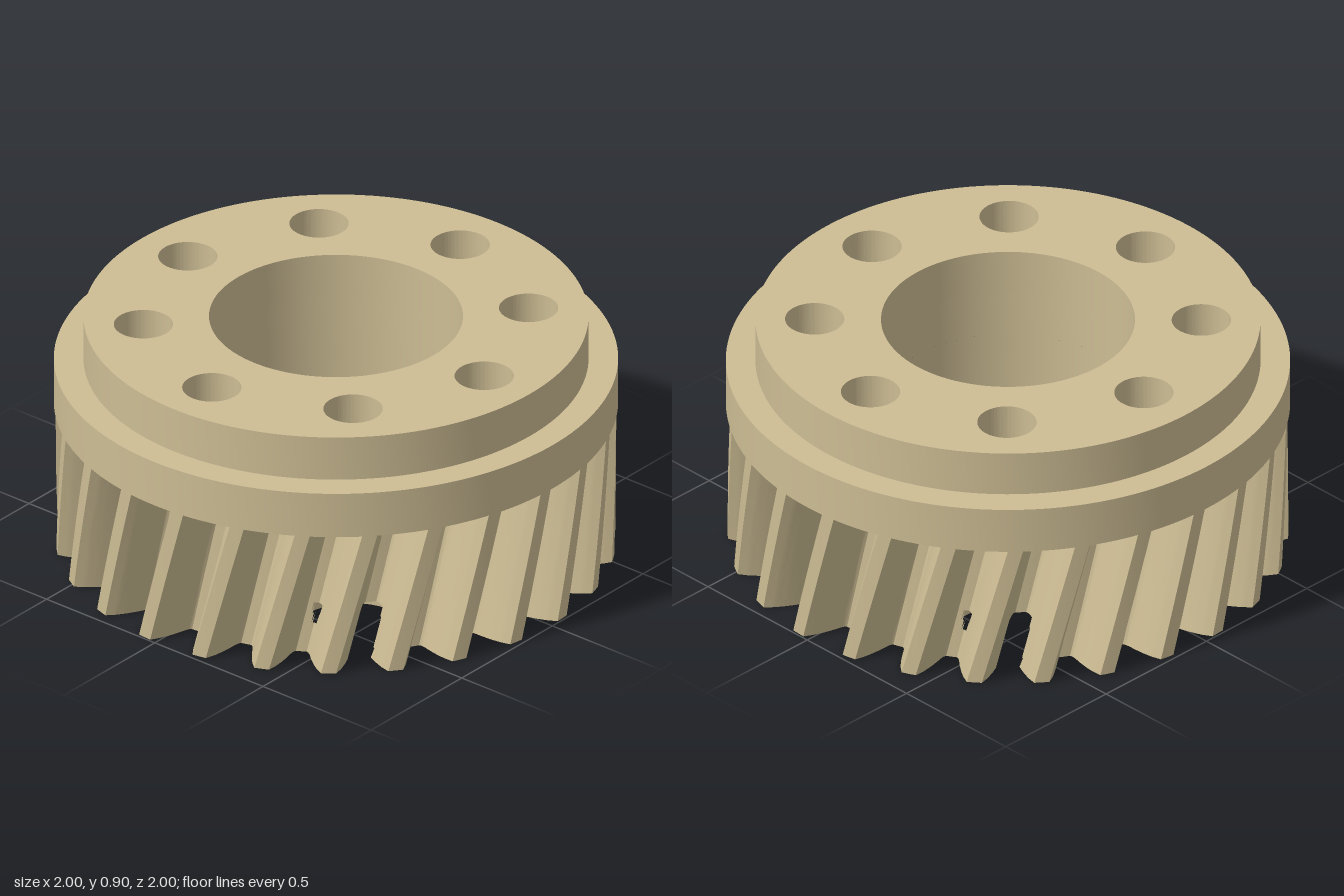
import * as THREE from 'three';
import { toCreasedNormals } from 'three/addons/utils/BufferGeometryUtils.js';

const TAU = Math.PI * 2, DEG = Math.PI / 180;
const TEETH = 26, PITCH = TAU / TEETH;
const GEAR_TOP = 0.555, FLANGE_TOP = 0.73, TOP = 0.9;
const BORE = 0.45, HOLE = 0.105, POCKET = 0.207, HOLE_RING = 0.685, POCKET_DEPTH = 0.2;
const PHASE = 3.8 * DEG, TWIST = 8.5 * DEG / GEAR_TOP;

// Half of one tooth: [angle from the tooth's middle in degrees, radius]
const FLANK = [[0, 0.993], [1.55, 0.993], [2.6, 0.96], [3.46, 0.924], [4.15, 0.89],
  [4.7, 0.86], [5.1, 0.845], [5.6, 0.838], [180 / TEETH, 0.838]];

// Radius of the toothed outline at an angle measured from the middle of a tooth
function toothRadius(a) {
  const t = Math.abs(a - Math.round(a / PITCH) * PITCH) / DEG;
  for (let i = 1; i < FLANK.length; i++) {
    const [a0, r0] = FLANK[i - 1], [a1, r1] = FLANK[i];
    if (t <= a1) return r0 + (r1 - r0) * (t - a0) / (a1 - a0);
  }
  return FLANK[FLANK.length - 1][1];
}
const gearRadius = (a, y) => toothRadius(a - PHASE - TWIST * y);
const inGear = (x, y, z) => Math.hypot(x, z) < gearRadius(Math.atan2(x, z), y);

const holeCentre = k => [HOLE_RING * Math.sin(k * TAU / 8), HOLE_RING * Math.cos(k * TAU / 8)];
const inPocket = (x, y, z) => y < POCKET_DEPTH && [1, 3, 5, 7].some(k => {
  const [cx, cz] = holeCentre(k);
  return Math.hypot(x - cx, z - cz) < POCKET;
});

// Surface from a rule f(i, j); triangles whose middle fails keep() are left out
function grid(nu, nv, f, keep = () => true) {
  const out = [];
  const add = (...tri) => {
    const m = [0, 1, 2].map(c => (tri[0][c] + tri[1][c] + tri[2][c]) / 3);
    if (keep(...m)) tri.forEach(p => out.push(...p));
  };
  for (let i = 0; i < nu; i++) for (let j = 0; j < nv; j++) {
    const a = f(i, j), b = f(i + 1, j), c = f(i + 1, j + 1), d = f(i, j + 1);
    add(a, b, c);
    add(a, c, d);
  }
  const g = new THREE.BufferGeometry();
  g.setAttribute('position', new THREE.Float32BufferAttribute(out, 3));
  return toCreasedNormals(g, 0.45);
}

// Inward-facing cylindrical wall
function innerWall(r, y0, y1, cx = 0, cz = 0, nu = 64, nv = 1, keep) {
  return grid(nu, nv, (i, j) => {
    const a = -i / nu * TAU;
    return [cx + r * Math.sin(a), y0 + (y1 - y0) * j / nv, cz + r * Math.cos(a)];
  }, keep);
}

// Drilled disc
function drilledDisc(radius, y0, y1) {
  const s = new THREE.Shape().absarc(0, 0, radius, 0, TAU, false);
  s.holes.push(new THREE.Path().absarc(0, 0, BORE, 0, TAU, true));
  for (let k = 0; k < 8; k++) {
    const [x, z] = holeCentre(k);
    s.holes.push(new THREE.Path().absarc(x, z, HOLE, 0, TAU, true));
  }
  const g = new THREE.ExtrudeGeometry(s, { depth: y1 - y0, bevelEnabled: false, curveSegments: 80 });
  return toCreasedNormals(g.rotateX(-Math.PI / 2).translate(0, y0, 0), 0.45);
}

// Helical tooth surface, opened where the pockets break through
function toothWall() {
  const half = [];
  for (let i = 1; i < FLANK.length; i++) {
    for (let s = 0; s < 4; s++) {
      half.push((FLANK[i - 1][0] + (FLANK[i][0] - FLANK[i - 1][0]) * s / 4) * DEG);
    }
  }
  const profile = [...half, ...half.map((_, i) => PITCH - (half[half.length - 1 - i] || 0))];
  profile.splice(half.length, 0, PITCH / 2);
  profile.pop();
  const n = profile.length;
  const rows = [0, 0.04, 0.08, 0.12, 0.16, POCKET_DEPTH, 0.29, 0.38, 0.47, GEAR_TOP];
  return grid(n * TEETH, rows.length - 1, (i, j) => {
    const t = profile[i % n] + Math.floor(i / n) * PITCH, r = toothRadius(t);
    const a = t + PHASE + TWIST * rows[j];
    return [r * Math.sin(a), rows[j], r * Math.cos(a)];
  }, (x, y, z) => !inPocket(x, y, z));
}

// Underside, as radial strips: inside the holes (part 0) and outside them (part 1)
function underside(part) {
  const n = 1872;
  return grid(n, 1, (i, j) => {
    const a = i / n * TAU, k = Math.round(a / (TAU / 8)), d = a - k * TAU / 8;
    const R = k % 2 ? POCKET : HOLE, mid = HOLE_RING * Math.cos(d);
    const h = Math.sqrt(Math.max(0, R * R - (HOLE_RING * Math.sin(d)) ** 2));
    const edge = gearRadius(a, 0);
    const span = part ? [Math.min(mid + h, edge), edge] : [BORE, mid - h];
    return [span[j] * Math.sin(a), 0, span[j] * Math.cos(a)];
  });
}

// Ceiling of a pocket, trimmed to the toothed outline
function pocketCeiling(cx, cz) {
  const n = 144;
  return grid(n, 1, (i, j) => {
    const a = i / n * TAU, s = Math.sin(a), c = Math.cos(a);
    let r = j ? POCKET : HOLE;
    while (r > HOLE && !inGear(cx + r * s, POCKET_DEPTH, cz + r * c)) r -= 0.001;
    return [cx + r * s, POCKET_DEPTH, cz + r * c];
  });
}

export function createModel() {
  const model = new THREE.Group();
  model.name = 'helicalGear';
  const material = new THREE.MeshStandardMaterial({ color: 0xcdbd94 });
  const add = (name, geometry) => {
    const mesh = new THREE.Mesh(geometry, material);
    mesh.name = name;
    model.add(mesh);
  };

  // Flange and raised hub
  add('flange', drilledDisc(1, GEAR_TOP, FLANGE_TOP));
  add('hub', drilledDisc(0.895, FLANGE_TOP, TOP));

  // Toothed body
  add('helicalTeeth', toothWall());
  add('undersideInner', underside(0));
  add('undersideOuter', underside(1));
  add('boreWall', innerWall(BORE, 0, GEAR_TOP, 0, 0, 128));

  // Bolt holes; every second one has a wide pocket from below
  for (let k = 0; k < 8; k++) {
    const [cx, cz] = holeCentre(k), pocket = k % 2 === 1;
    add('boltHoleWall', innerWall(HOLE, pocket ? POCKET_DEPTH : 0, GEAR_TOP, cx, cz));
    if (pocket) {
      add('pocketWall', innerWall(POCKET, 0, POCKET_DEPTH, cx, cz, 180, 8, inGear));
      add('pocketCeiling', pocketCeiling(cx, cz));
    }
  }
  return model;
}
